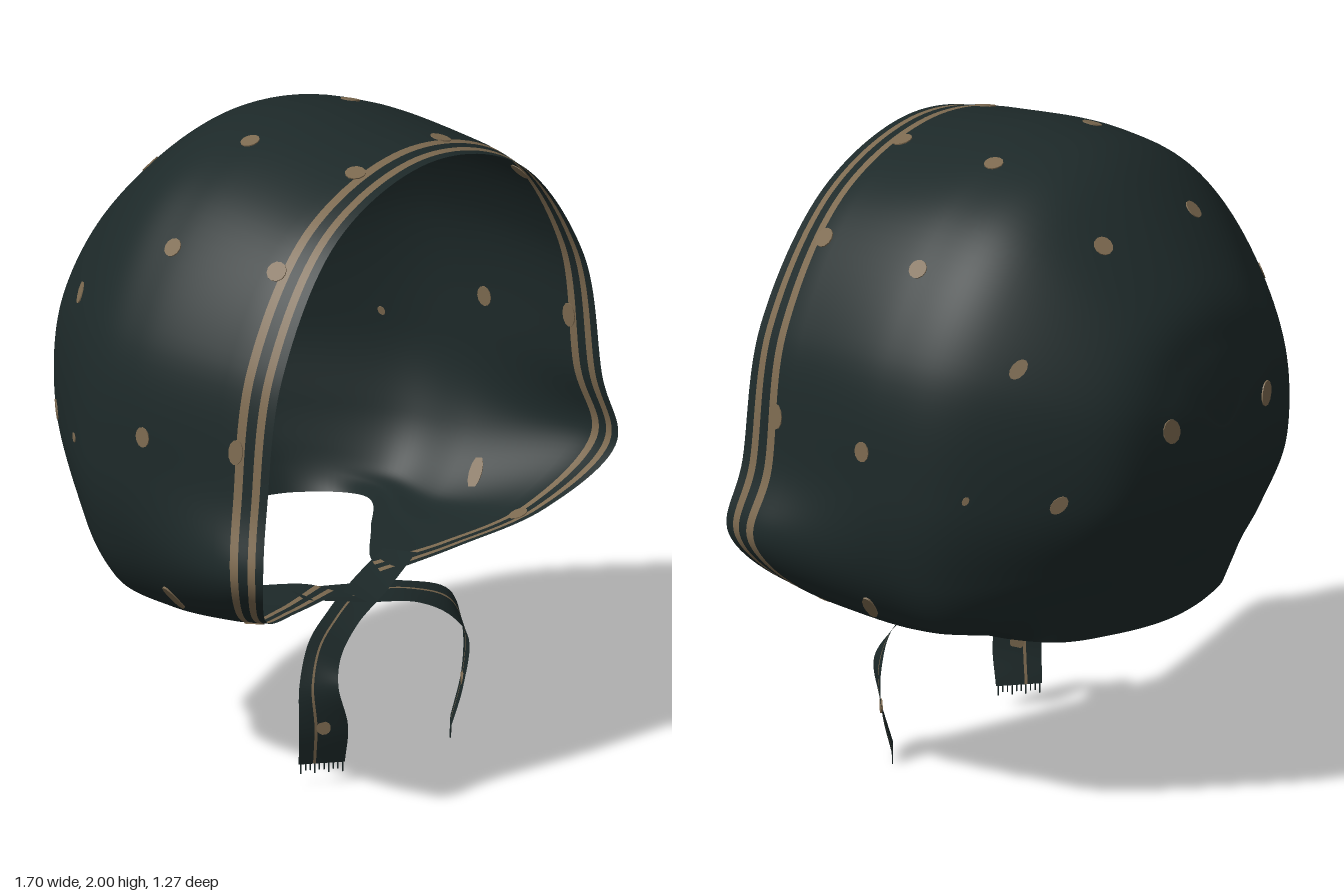
import * as THREE from 'three';
import { mergeVertices } from 'three/addons/utils/BufferGeometryUtils.js';

// Half arches of the hood, each from crown centre down to the neck edge (x, y, z triples)
const faceRim = [0, 1.95, .59, .43, 1.82, .59, .705, 1.46, .605, .785, 1.05, .61, .825, .815, .63, .65, .63, .5, .38, .56, .39, .1, .53, .32];
const flare = [0, 1.975, .42, .46, 1.84, .42, .735, 1.47, .42, .8, 1.05, .42, .84, .81, .45, .66, .61, .36, .4, .555, .28, .16, .55, .22];
const middle = [0, 2, .08, .45, 1.865, .08, .745, 1.48, .08, .8, 1.05, .08, .765, .77, .1, .63, .585, .1, .48, .56, .08, .33, .555, .08];
const behind = [0, 1.93, -.2, .41, 1.81, -.19, .675, 1.46, -.19, .735, 1.05, -.18, .7, .78, -.15, .63, .63, -.12, .57, .585, -.1, .5, .57, -.08];
const back = [0, 1.645, -.505, .26, 1.57, -.5, .44, 1.34, -.5, .475, 1.04, -.485, .45, .82, -.41, .43, .7, -.35, .42, .63, -.32, .41, .56, -.29];
const farBack = [0, 1.45, -.592, .14, 1.41, -.592, .24, 1.28, -.602, .26, 1.04, -.582, .25, .84, -.505, .24, .71, -.445, .23, .635, -.415, .22, .555, -.38];
const backSeam = [0, 1.25, -.63, 0, 1.23, -.63, 0, 1.18, -.633, 0, 1.03, -.615, 0, .84, -.535, 0, .72, -.475, 0, .64, -.445, 0, .55, -.41];

const mirrorX = new THREE.Vector3(-1, 1, 1);
const arches = [faceRim, flare, middle, behind, back, farBack, backSeam].map((a) =>
  Array.from({ length: a.length / 3 }, (_, j) => new THREE.Vector3().fromArray(a, j * 3)));
const ROWS = arches.length - 1, COLS = arches[0].length - 1;

// Uniform Catmull-Rom through four points
function spline(a, b, c, d, t) {
  const t2 = t * t, t3 = t2 * t;
  return new THREE.Vector3()
    .addScaledVector(a, (-t + 2 * t2 - t3) / 2)
    .addScaledVector(b, (2 - 5 * t2 + 3 * t3) / 2)
    .addScaledVector(c, (t + 4 * t2 - 3 * t3) / 2)
    .addScaledVector(d, (t3 - t2) / 2);
}

// Control point; mirrored past the centre lines, extended straight past open edges
function control(i, j) {
  if (j < 0) return control(i, -j).clone().multiply(mirrorX);
  if (i > ROWS) return control(2 * ROWS - i, j).clone().multiply(mirrorX);
  if (i < 0) return control(0, j).clone().multiplyScalar(2).sub(control(1, j));
  if (j > COLS) return control(i, COLS).clone().multiplyScalar(2).sub(control(i, COLS - 1));
  return arches[i][j];
}

// Hood surface: u runs from face to back, v from crown to neck edge (negative = right side)
function hoodPoint(u, v) {
  const w = Math.abs(v);
  const i = Math.min(Math.floor(u), ROWS - 1), j = Math.min(Math.floor(w), COLS - 1);
  const row = (k) => spline(control(k, j - 1), control(k, j), control(k, j + 1), control(k, j + 2), w - j);
  const p = spline(row(i - 1), row(i), row(i + 1), row(i + 2), u - i);
  if (v < 0) p.x = -p.x;
  return p;
}

// Sheet from a point function; cells chosen by isTrim go in the second material group
function sheet(us, vs, point, isTrim) {
  const pos = [], plain = [], trim = [], n = vs.length;
  for (const u of us) for (const v of vs) pos.push(...point(u, v).toArray());
  for (let i = 0; i < us.length - 1; i++) {
    for (let j = 0; j < n - 1; j++) {
      const a = i * n + j, b = a + n;
      (isTrim(i, j) ? trim : plain).push(a, a + 1, b, b, a + 1, b + 1);
    }
  }
  const geo = new THREE.BufferGeometry();
  geo.setAttribute('position', new THREE.Float32BufferAttribute(pos, 3));
  geo.setIndex([...plain, ...trim]);
  geo.addGroup(0, plain.length, 0);
  geo.addGroup(plain.length, trim.length, 1);
  const merged = mergeVertices(geo, 1e-4);
  merged.computeVertexNormals();
  return merged;
}

const steps = (from, to, n) => Array.from({ length: n + 1 }, (_, i) => from + (to - from) * i / n);

export function createModel() {
  const group = new THREE.Group();
  const cloth = new THREE.MeshStandardMaterial({ color: 0x1d2929, side: THREE.DoubleSide });
  cloth.name = 'dark green cloth';
  const tan = new THREE.MeshStandardMaterial({ color: 0x7d6a50, side: THREE.DoubleSide });
  tan.name = 'tan print';
  const add = (name, geo, mat) => {
    const mesh = new THREE.Mesh(geo, mat);
    mesh.name = name;
    group.add(mesh);
    return mesh;
  };

  // Hood with two printed stripes behind the face edge
  const us = [...steps(0, 1, 24), ...steps(1, ROWS, 60).slice(1)];
  const vs = steps(-COLS, COLS, 168);
  const striped = (i) => (i >= 4 && i < 8) || (i >= 13 && i < 17);
  const hood = sheet(us, vs, hoodPoint, striped);
  add('hood', hood, [cloth, tan]);

  // Printed dots, thin plates showing on both faces of the cloth
  const up = new THREE.Vector3(0, 1, 0);
  const dot = (name, centre, normal, rx, rz) => {
    const mesh = add(name, new THREE.CylinderGeometry(1, 1, .006, 12), tan);
    mesh.scale.set(rx, 1, rz);
    mesh.position.copy(centre);
    mesh.quaternion.setFromUnitVectors(up, normal);
  };
  // Target position, then the two radii
  const dots = [
    [.235, 1.25, -.6, .031, .04], [.235, 1.81, -.36, .031, .031], [.61, 1.5, -.31, .036, .022],
    [.54, 1.06, -.42, .034, .022], [.61, 1.72, .08, .03, .03], [.215, 1.97, .08, .03, .03],
    [.8, 1.2, .13, .032, .026], [.7, .67, .17, .055, .022], [.19, 1.95, .468, .032, .032],
    [.57, 1.73, .468, .032, .032], [.79, 1.22, .485, .04, .026], [.63, .6, .42, .03, .03],
    [.75, 1.07, -.22, .015, .01],
  ];
  const P = hood.attributes.position, N = hood.attributes.normal;
  const p = new THREE.Vector3();
  for (const side of [1, -1]) {
    for (const [x, y, z, rx, rz] of dots) {
      const target = new THREE.Vector3(side * x, y, z);
      let best = 0, bestDistance = Infinity;
      for (let i = 0; i < P.count; i++) {
        const d = p.fromBufferAttribute(P, i).distanceToSquared(target);
        if (d < bestDistance) { bestDistance = d; best = i; }
      }
      // Work from the outward normal so both sides turn alike
      const normal = new THREE.Vector3().fromBufferAttribute(N, best);
      if (normal.x * side < 0) normal.negate();
      dot('printedDot', p.fromBufferAttribute(P, best), normal, rx, rz);
    }
  }

  // Crossed chin ties: centre point then half-width vector
  const tie = [
    [-.24, .55, .27, .02, 0, -.05], [-.03, .51, .33, .02, .012, -.05], [.16, .475, .39, .02, .02, -.04],
    [.29, .41, .43, .035, .025, -.035], [.335, .31, .45, .038, 0, -.045], [.315, .17, .455, .055, 0, -.05],
    [.29, .03, .43, .055, 0, -.045],
  ];
  for (const side of [1, -1]) {
    const edge = (k) => new THREE.CatmullRomCurve3(tie.map(([x, y, z, a, b, c], i) => new THREE.Vector3(
      side * (x + k * a) - (side < 0 ? .004 * i : 0),
      y + k * b + (side < 0 ? .03 * (i / 6) ** 2 + .006 : 0),
      z + k * c)));
    const inner = edge(-1), outer = edge(1);
    const point = (u, v) => inner.getPoint(u).lerp(outer.getPoint(u), v);
    const name = side > 0 ? 'leftTie' : 'rightTie';
    add(name, sheet(steps(0, 1, 48), steps(0, 1, 16), point, (i, j) => i > 10 && j === 10), [cloth, tan]);
    dot(name + 'Dot', point(.84, .5), new THREE.Vector3(side * .7, 0, .7).normalize(), .022, .022);

    // Fringe threads on the cut end
    for (let i = 0; i < 10; i++) {
      const length = i % 3 === 0 ? .03 : .02;
      const thread = add(name + 'Fringe', new THREE.BoxGeometry(.003, length, .003), cloth);
      thread.position.copy(point(1, (i + .5) / 10));
      thread.position.y -= length / 2;
    }
  }
  return group;
}
